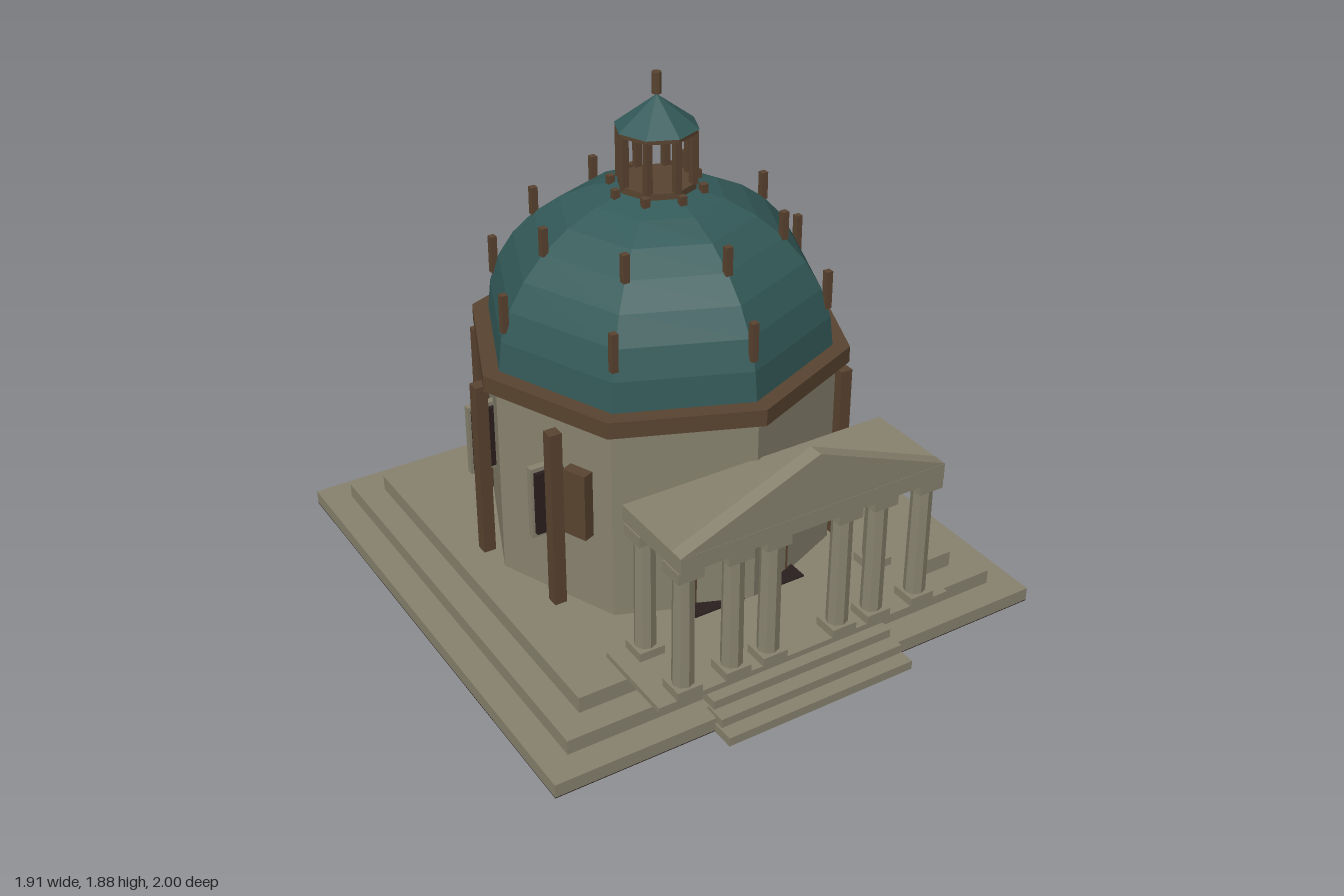
import * as THREE from 'three';

const mat = (name, color) => {
  const m = new THREE.MeshStandardMaterial({ color, flatShading: true });
  m.name = name;
  return m;
};

export function createModel() {
  const stone = mat('stone', 0x88836f);
  const copper = mat('greenCopper', 0x335a59);
  const brown = mat('brownTrim', 0x5a4430);
  const dark = mat('darkGlass', 0x2a1f1e);

  const model = new THREE.Group();
  model.name = 'domedRotunda';
  const CZ = -0.043; // centre of the rotunda and terrace

  const add = (name, geo, material, x = 0, y = 0, z = 0, parent = model) => {
    const mesh = new THREE.Mesh(geo, material);
    mesh.name = name;
    mesh.position.set(x, y, z);
    parent.add(mesh);
    return mesh;
  };
  // box given by its extents along each axis
  const box = (name, material, [x0, x1], [y0, y1], [z0, z1], parent) =>
    add(name, new THREE.BoxGeometry(x1 - x0, y1 - y0, z1 - z0), material,
      (x0 + x1) / 2, (y0 + y1) / 2, (z0 + z1) / 2, parent);
  // upright square post with its foot at y0
  const post = (name, material, x, z, y0, y1, w, parent) =>
    box(name, material, [x - w / 2, x + w / 2], [y0, y1], [z - w / 2, z + w / 2], parent);
  // eight-sided prism about the rotunda axis
  const octagon = (name, material, rTop, rBottom, y0, y1, parent) =>
    add(name, new THREE.CylinderGeometry(rTop, rBottom, y1 - y0, 8), material, 0, (y0 + y1) / 2, CZ, parent);
  const ring = (count, r, start, fn) => {
    for (let i = 0; i < count; i++) {
      const a = start + (i / count) * Math.PI * 2;
      fn(r * Math.cos(a), CZ + r * Math.sin(a), i);
    }
  };
  const group = (name) => {
    const g = new THREE.Group();
    g.name = name;
    model.add(g);
    return g;
  };

  // Stepped terrace on a dark underside plate
  const terrace = group('terrace');
  [[0.957, 0.003, 0.052], [0.856, 0.052, 0.106], [0.758, 0.106, 0.165]].forEach(([h, y0, y1]) =>
    box('terraceStep', stone, [-h, h], [y0, y1], [CZ - h, CZ + h], terrace));
  box('underside', dark, [-0.957, 0.957], [0, 0.003], [CZ - 0.957, CZ + 0.957], terrace);

  // Front stairs
  const stairs = group('frontStairs');
  for (let i = 0; i < 5; i++) {
    const h = 0.37 - i * 0.006, front = 1 - i * 0.055;
    box('stair', stone, [-h, h], [i * 0.033, (i + 1) * 0.033], [front - 0.085, front], stairs);
  }

  // Drum and cornice
  octagon('drum', stone, 0.63, 0.63, 0.165, 0.89);
  octagon('cornice', brown, 0.675, 0.675, 0.89, 0.95);

  // Pilasters, left out behind the portico
  const pilasters = group('pilasters');
  ring(10, 0.655, 0.15, (x, z, i) => {
    if (i !== 2 && i !== 3) post('pilaster', brown, x, z, 0.19, 0.86, 0.045, pilasters);
  });

  // Windows on every wall except the two front ones
  const windows = group('windows');
  ring(8, 0.603, Math.PI / 8, (x, z, i) => {
    if (i === 1 || i === 2) return;
    box('windowFrame', stone, [x - 0.08, x + 0.08], [0.43, 0.7], [z - 0.013, z + 0.013], windows);
    box('windowPane', dark, [x - 0.07, x + 0.07], [0.448, 0.685], [z - 0.028, z + 0.028], windows);
  });

  // Door, threshold and side panels set parallel to their walls
  box('door', brown, [-0.192, 0.192], [0.165, 0.6], [0.45, 0.511]);
  box('threshold', dark, [-0.22, 0.22], [0.165, 0.182], [0.45, 0.575]);
  for (const s of [-1, 1]) {
    const panel = add('sidePanel', new THREE.BoxGeometry(0.05, 0.25, 0.09), brown, s * 0.51, 0.585, 0.294);
    panel.rotation.y = -s * Math.PI / 8;
  }

  // Faceted dome
  const profile = [];
  for (let i = 0; i <= 8; i++) {
    const t = (i / 8) * Math.PI / 2;
    profile.push(new THREE.Vector2(Math.max(0, 0.615 * Math.cos(t)), 0.95 + 0.545 * Math.sin(t)));
  }
  add('dome', new THREE.LatheGeometry(profile, 8), copper, 0, 0, CZ);

  // Pegs in three rings on the dome
  const pegs = group('domePegs');
  [[0.588, 1.09, 1.228], [0.433, 1.33, 1.43], [0.16, 1.47, 1.502]].forEach(([r, y0, y1]) =>
    ring(8, r, 0, (x, z) => post('domePeg', brown, x, z, y0, y1, 0.024, pegs)));

  // Lantern
  const lantern = group('lantern');
  octagon('lanternFloor', brown, 0.135, 0.135, 1.48, 1.503, lantern);
  ring(8, 0.126, 0, (x, z) => post('lanternPost', brown, x, z, 1.5, 1.685, 0.024, lantern));
  octagon('lanternCeiling', brown, 0.14, 0.14, 1.678, 1.696, lantern);
  octagon('lanternRoof', copper, 0, 0.145, 1.693, 1.803, lantern);
  octagon('finial', brown, 0.017, 0.017, 1.806, 1.88, lantern);

  // Portico: plinth, columns, entablature and pediment
  const portico = group('portico');
  box('plinth', stone, [-0.58, 0.58], [0.165, 0.186], [0.585, 0.912], portico);
  const column = (x, z) => {
    post('columnBase', stone, x, z, 0.186, 0.218, 0.094, portico);
    add('columnShaft', new THREE.CylinderGeometry(0.036, 0.038, 0.43, 8), stone, x, 0.425, z, portico);
    post('columnCapital', stone, x, z, 0.636, 0.676, 0.094, portico);
  };
  for (const s of [-1, 1]) {
    for (const x of [0.466, 0.281, 0.139]) column(s * x, 0.87);
    column(s * 0.466, 0.64);
  }
  box('entablature', stone, [-0.509, 0.509], [0.676, 0.735], [0.577, 0.923], portico);
  const gable = new THREE.Shape([[-0.509, 0.735], [0.509, 0.735], [0, 0.94]].map((p) => new THREE.Vector2(...p)));
  add('pediment', new THREE.ExtrudeGeometry(gable, { depth: 0.053, bevelEnabled: false }), stone, 0, 0, 0.869, portico);

  return model;
}
